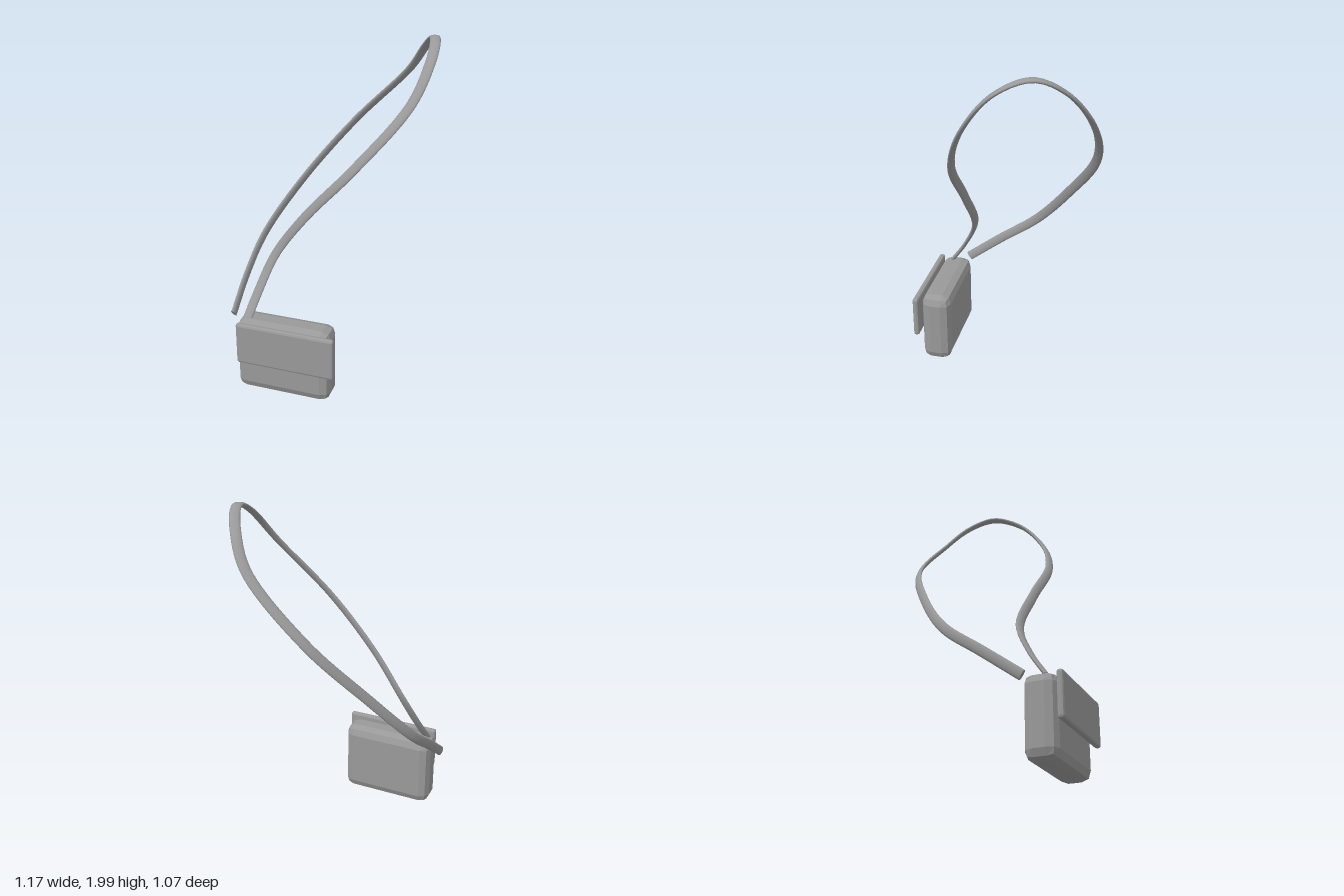
import * as THREE from 'three';
import { RoundedBoxGeometry } from 'three/addons/geometries/RoundedBoxGeometry.js';

// Elliptical band swept along a curve, its wide axis tilted within the loop
function sweepStrap(curve, wide, thin, steps, sides) {
  const loopNormal = new THREE.Vector3(0.77, -0.64, 0).normalize();
  const tilt = THREE.MathUtils.degToRad(40);
  const pos = [], index = [];
  for (let i = 0; i <= steps; i++) {
    const p = curve.getPointAt(i / steps);
    const t = curve.getTangentAt(i / steps);
    const out = loopNormal.clone().cross(t).normalize();
    const n = t.clone().cross(out).normalize();
    const major = n.clone().multiplyScalar(Math.cos(tilt)).addScaledVector(out, Math.sin(tilt));
    const minor = t.clone().cross(major);
    for (let j = 0; j < sides; j++) {
      const a = (j / sides) * Math.PI * 2;
      const v = p.clone()
        .addScaledVector(major, Math.cos(a) * wide)
        .addScaledVector(minor, Math.sin(a) * thin);
      pos.push(v.x, v.y, v.z);
    }
  }
  for (let i = 0; i < steps; i++) {
    for (let j = 0; j < sides; j++) {
      const k = (j + 1) % sides;
      const a = i * sides + j, b = i * sides + k;
      index.push(a, b, a + sides, b, b + sides, a + sides);
    }
  }
  // End caps, with their own vertices so the rims stay sharp
  for (const ring of [0, steps]) {
    const base = pos.length / 3;
    for (let j = 0; j < sides; j++) {
      const s = (ring * sides + j) * 3;
      pos.push(pos[s], pos[s + 1], pos[s + 2]);
    }
    for (let j = 1; j < sides - 1; j++) {
      if (ring === 0) index.push(base, base + j + 1, base + j);
      else index.push(base, base + j, base + j + 1);
    }
  }
  const g = new THREE.BufferGeometry();
  g.setAttribute('position', new THREE.Float32BufferAttribute(pos, 3));
  g.setIndex(index);
  g.computeVertexNormals();
  return g;
}

// Box with chamfered, faceted edges
function facetedBox(w, h, d, r) {
  const g = new RoundedBoxGeometry(w, h, d, 1, r);
  const flat = g.index ? g.toNonIndexed() : g;
  flat.computeVertexNormals();
  return flat;
}

export function createModel() {
  const model = new THREE.Group();
  model.name = 'shoulderBag';
  const grey = new THREE.MeshStandardMaterial({ color: 0x999999 });
  grey.name = 'grey';

  // Bag, turned slightly about the vertical
  const bag = new THREE.Group();
  bag.name = 'bag';
  bag.position.set(-0.252, 0, 0.322);
  bag.rotation.y = -THREE.MathUtils.degToRad(17);
  model.add(bag);

  const body = new THREE.Mesh(facetedBox(0.567, 0.447, 0.18, 0.055), grey);
  body.name = 'body';
  body.position.y = 0.2285;
  bag.add(body);

  const flap = new THREE.Mesh(facetedBox(0.585, 0.255, 0.036, 0.014), grey);
  flap.name = 'frontFlap';
  flap.position.set(0.03, 0.3275, 0.108);
  bag.add(flap);

  // Strap: one big leaning loop from the bag top round to the bag's rear corner
  const path = new THREE.CatmullRomCurve3([
    [-0.48, 0.44, 0.285], [-0.415, 0.59, 0.2], [-0.325, 0.78, 0.138], [-0.145, 1.05, 0.2],
    [0.12, 1.36, 0.277], [0.415, 1.7, 0.215], [0.525, 1.91, 0.065], [0.554, 1.986, -0.115],
    [0.525, 1.91, -0.28], [0.44, 1.73, -0.425], [0.13, 1.39, -0.52], [-0.18, 1.05, -0.42],
    [-0.415, 0.75, -0.25], [-0.51, 0.575, -0.04], [-0.573, 0.41, 0.17],
  ].map((p) => new THREE.Vector3(...p)));
  const strap = new THREE.Mesh(sweepStrap(path, 0.029, 0.012, 110, 14), grey);
  strap.name = 'strap';
  model.add(strap);

  return model;
}
